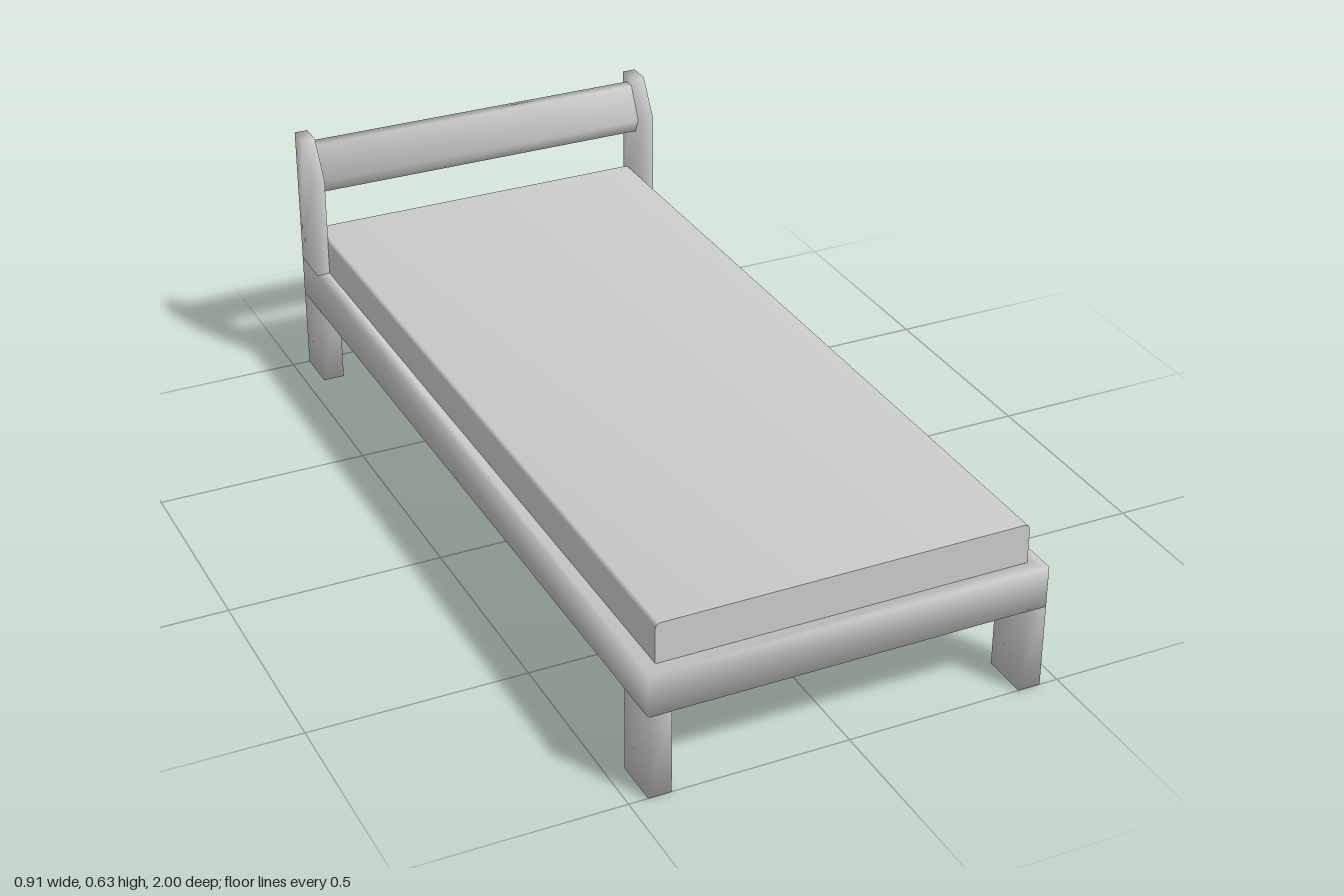
import * as THREE from 'three';
import { mergeVertices, toCreasedNormals } from 'three/addons/utils/BufferGeometryUtils.js';

const material = new THREE.MeshStandardMaterial({ color: 0xcccccc });

// Shares the corner vertices and gives them normals weighted by face angle, for even soft shading.
// Optionally leaves out the face lying at y = openY.
function soften(geometry, openY = null) {
  const source = geometry.index ? geometry.toNonIndexed() : geometry;
  const p = source.attributes.position;
  const kept = [];
  for (let i = 0; i < p.count; i += 3) {
    const open = openY !== null && [0, 1, 2].every(k => Math.abs(p.getY(i + k) - openY) < 1e-5);
    if (!open) for (let k = 0; k < 3; k++) kept.push(p.getX(i + k), p.getY(i + k), p.getZ(i + k));
  }
  const bare = new THREE.BufferGeometry();
  bare.setAttribute('position', new THREE.Float32BufferAttribute(kept, 3));
  const welded = mergeVertices(bare, 1e-5);
  const { position } = welded.attributes;
  const normals = Array.from({ length: position.count }, () => new THREE.Vector3());
  for (let i = 0; i < welded.index.count; i += 3) {
    const ids = [0, 1, 2].map(k => welded.index.getX(i + k));
    const corners = ids.map(id => new THREE.Vector3().fromBufferAttribute(position, id));
    const faceNormal = new THREE.Triangle(...corners).getNormal(new THREE.Vector3());
    ids.forEach((id, k) => {
      const a = corners[(k + 1) % 3].clone().sub(corners[k]);
      const b = corners[(k + 2) % 3].clone().sub(corners[k]);
      normals[id].addScaledVector(faceNormal, a.angleTo(b));
    });
  }
  welded.setAttribute('normal', new THREE.Float32BufferAttribute(normals.flatMap(n => n.normalize().toArray()), 3));
  return welded;
}

const polygon = points => new THREE.Shape(points.map(([x, y]) => new THREE.Vector2(x, y)));
const extrude = (shape, depth) =>
  new THREE.ExtrudeGeometry(shape, { depth, bevelEnabled: false, curveSegments: 4 });

// Extrudes a (z, y) profile along x from x0 to x1.
function acrossX(points, x0, x1) {
  const shape = polygon(points.map(([z, y]) => [-z, y]));
  return extrude(shape, x1 - x0).rotateY(Math.PI / 2).translate(x0, 0, 0);
}

export function createModel() {
  const group = new THREE.Group();
  const add = (name, geometry) => {
    const mesh = new THREE.Mesh(geometry, material);
    mesh.name = name;
    group.add(mesh);
  };

  const W = 0.457, INNER = 0.425, RAIL_BOTTOM = 0.197, RAIL_TOP = 0.295;

  // Rectangular rail frame
  const frame = polygon([[-W, -1], [W, -1], [W, 1], [-W, 1]]);
  frame.holes.push(polygon([[-INNER, -0.967], [-INNER, 0.967], [INNER, 0.967], [INNER, -0.967]]));
  add('railFrame', soften(extrude(frame, RAIL_TOP - RAIL_BOTTOM).rotateX(-Math.PI / 2).translate(0, RAIL_BOTTOM, 0)));

  // Base panel, recessed inside the frame
  add('basePanel', new THREE.BoxGeometry(2 * INNER, 0.01, 1.934).translate(0, 0.245, 0));

  // Mattress with rounded long edges, resting on the panel
  const m = 0.426, bottom = 0.25, top = 0.387, r = 0.015;
  const section = new THREE.Shape();
  section.moveTo(-m, bottom);
  section.lineTo(m, bottom);
  section.lineTo(m, top - r);
  section.quadraticCurveTo(m, top, m - r, top);
  section.lineTo(-m + r, top);
  section.quadraticCurveTo(-m, top, -m, top - r);
  add('mattress', toCreasedNormals(extrude(section, 1.93).translate(0, 0, -0.965), 0.7));

  for (const [side, label] of [[1, 'left'], [-1, 'right']]) {
    // Legs below the rails
    for (const [end, where] of [[1, 'Front'], [-1, 'Back']]) {
      const leg = new THREE.BoxGeometry(0.052, RAIL_BOTTOM, 0.11)
        .translate(side * (W - 0.026), RAIL_BOTTOM / 2, end * 0.945);
      add(label + where + 'Leg', soften(leg, RAIL_BOTTOM));
    }
    // Headboard post with sloped front top
    const post = [[-0.89, RAIL_TOP], [-0.89, 0.545], [-0.945, 0.635], [-1, 0.635], [-1, RAIL_TOP]];
    const [x0, x1] = side > 0 ? [INNER, W] : [-W, -INNER];
    add(label + 'HeadboardPost', soften(acrossX(post, x0, x1), RAIL_TOP));
  }

  // Tilted headboard bar between the posts
  const bar = [[-0.925, 0.5], [-0.91, 0.535], [-0.95, 0.615], [-0.98, 0.615], [-0.947, 0.5]];
  add('headboardBar', soften(acrossX(bar, -INNER - 0.003, INNER + 0.003)));

  return group;
}
